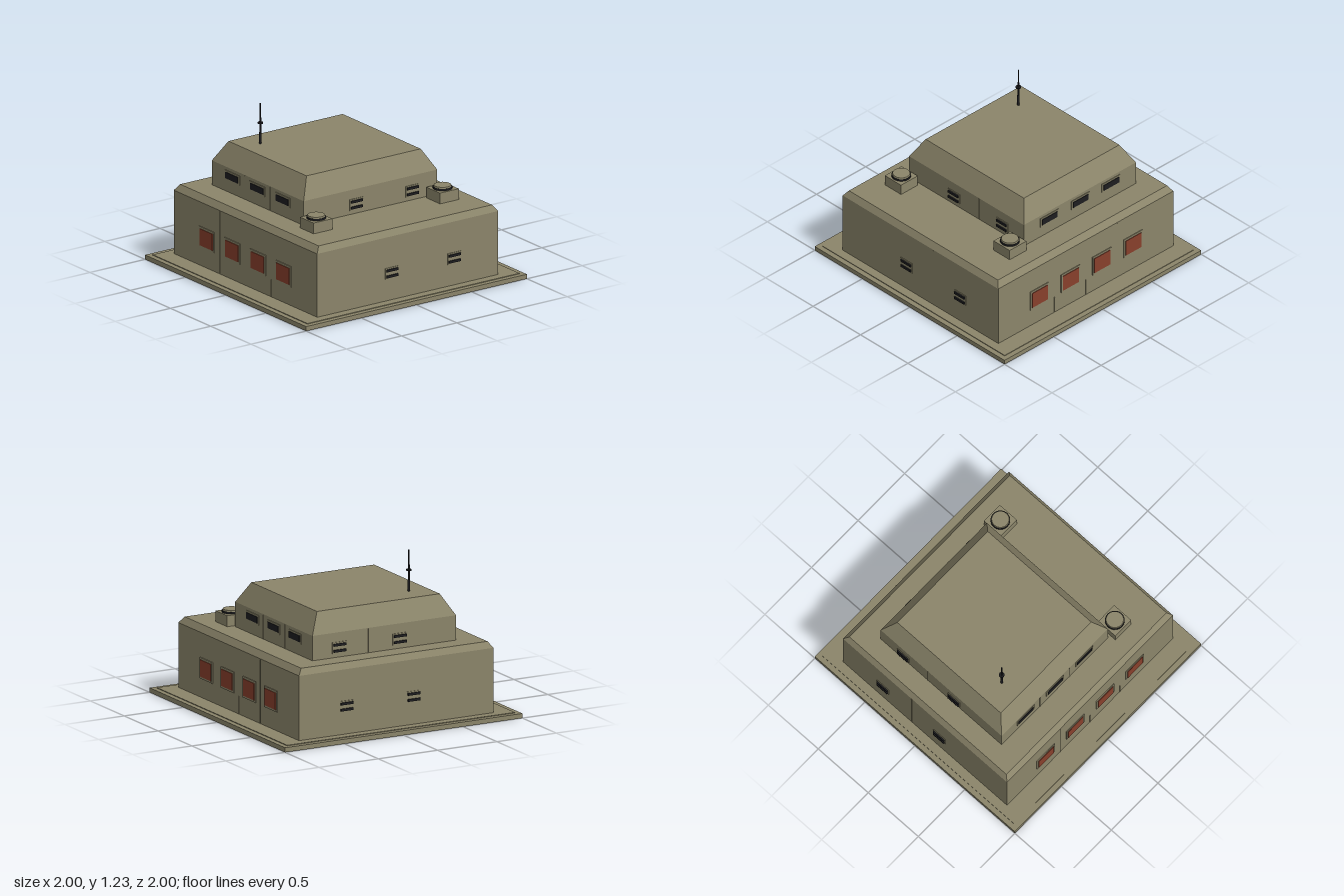
import * as THREE from 'three';

const mat = (name, color, opts = {}) => {
  const m = new THREE.MeshStandardMaterial({ color, ...opts });
  m.name = name;
  return m;
};

// Stacked rectangles [y, x0, x1, z0, z1] joined into a closed, flat-faced solid
function rectLoft(levels) {
  const pos = [];
  const rings = levels.map(([y, x0, x1, z0, z1]) => [[x0, y, z1], [x1, y, z1], [x1, y, z0], [x0, y, z0]]);
  const quad = (a, b, c, d) => pos.push(...a, ...b, ...c, ...a, ...c, ...d);
  for (let i = 0; i + 1 < rings.length; i++) {
    for (let k = 0; k < 4; k++) {
      const n = (k + 1) % 4;
      quad(rings[i][k], rings[i][n], rings[i + 1][n], rings[i + 1][k]);
    }
  }
  const [a, b, c, d] = rings[0];
  quad(d, c, b, a);
  quad(...rings[rings.length - 1]);
  const g = new THREE.BufferGeometry();
  g.setAttribute('position', new THREE.Float32BufferAttribute(pos, 3));
  g.computeVertexNormals();
  return g;
}

export function createModel() {
  const root = new THREE.Group();
  root.name = 'bunker';
  const concrete = mat('concrete', 0x8b856a);
  const red = mat('rust red', 0x873f2b);
  const black = mat('near black', 0x1d1d20);

  const add = (name, geo, m, x = 0, y = 0, z = 0) => {
    const mesh = new THREE.Mesh(geo, m);
    mesh.name = name;
    mesh.position.set(x, y, z);
    root.add(mesh);
    return mesh;
  };
  const box = (name, m, w, h, d, x, y, z) => add(name, new THREE.BoxGeometry(w, h, d), m, x, y, z);

  // Foundation slab with a shallow step
  box('foundationSlab', concrete, 2, 0.035, 2, 0, 0.0175, 0);
  box('foundationStep', concrete, 1.92, 0.01, 1.92, 0, 0.035, 0);

  // Lower storey with a bevelled roof edge, and the offset upper storey
  add('lowerStorey', rectLoft([
    [0.03, -0.89, 0.89, -0.82, 0.82],
    [0.53, -0.89, 0.89, -0.82, 0.82],
    [0.577, -0.86, 0.86, -0.785, 0.785],
  ]), concrete);
  add('upperStorey', rectLoft([
    [0.57, -0.715, 0.425, -0.607, 0.603],
    [0.765, -0.715, 0.425, -0.607, 0.603],
    [0.92, -0.63, 0.34, -0.52, 0.515],
  ]), concrete);

  // Openings and panel joints on the front and back walls
  for (const s of [1, -1]) {
    const lowZ = s * 0.82, upZ = s > 0 ? 0.603 : -0.607;
    for (const x of [-0.478, -0.16, 0.16, 0.475]) {
      box('windowFrame', concrete, 0.19, 0.16, 0.012, x, 0.263, lowZ);
      box('redWindow', red, 0.16, 0.128, 0.006, x, 0.263, lowZ + s * 0.008);
    }
    for (const x of [-0.46, -0.147, 0.168]) {
      box('slitFrame', concrete, 0.185, 0.075, 0.01, x, 0.703, upZ);
      box('viewSlit', black, 0.156, 0.048, 0.006, x, 0.703, upZ + s * 0.007);
    }
    box('wallJoint', concrete, 0.006, 0.48, 0.006, -0.32, 0.285, lowZ);
    for (const x of [0, 0.32]) box('lowerJoint', concrete, 0.006, 0.13, 0.006, x, 0.11, lowZ);
    for (const x of [-0.305, 0.01]) box('upperJoint', concrete, 0.006, 0.18, 0.006, x, 0.67, upZ);
  }

  // Louvred vents on the side walls: [wall x, outward sign, centre y, centre zs]
  const walls = [
    [0.89, 1, 0.25, [0.145, -0.42]], [-0.89, -1, 0.25, [0.145, -0.42]],
    [0.425, 1, 0.65, [0.128, -0.38]], [-0.715, -1, 0.65, [0.128, -0.38]],
  ];
  for (const [x, s, y, zs] of walls) {
    for (const z of zs) {
      box('ventFrame', concrete, 0.01, 0.085, 0.12, x, y, z);
      for (const dy of [-0.023, 0.023]) box('louvre', black, 0.018, 0.018, 0.104, x + s * 0.006, y + dy, z);
    }
    box('sideJoint', concrete, 0.006, y < 0.5 ? 0.48 : 0.18, 0.006, x, y < 0.5 ? 0.285 : 0.67, -0.135);
  }

  // Roof ventilators: square plinth, dark collar and round cap
  for (const z of [-0.575, 0.57]) {
    box('ventilatorPlinth', concrete, 0.17, 0.085, 0.17, 0.535, 0.618, z);
    add('ventilatorCollar', new THREE.CylinderGeometry(0.072, 0.072, 0.016, 20), black, 0.535, 0.667, z);
    add('ventilatorCap', new THREE.CylinderGeometry(0.064, 0.068, 0.012, 20), concrete, 0.535, 0.68, z);
  }

  // Stepped aerial with a small disc
  const aerial = [
    [0.01, 0.92, 1.005], [0.007, 1.0, 1.12], [0.0045, 1.11, 1.232], [0.021, 1.075, 1.085],
  ];
  for (const [r, y0, y1] of aerial) {
    add('aerialSection', new THREE.CylinderGeometry(r, r, y1 - y0, 10), black, -0.45, (y0 + y1) / 2, 0.357);
  }
  return root;
}
